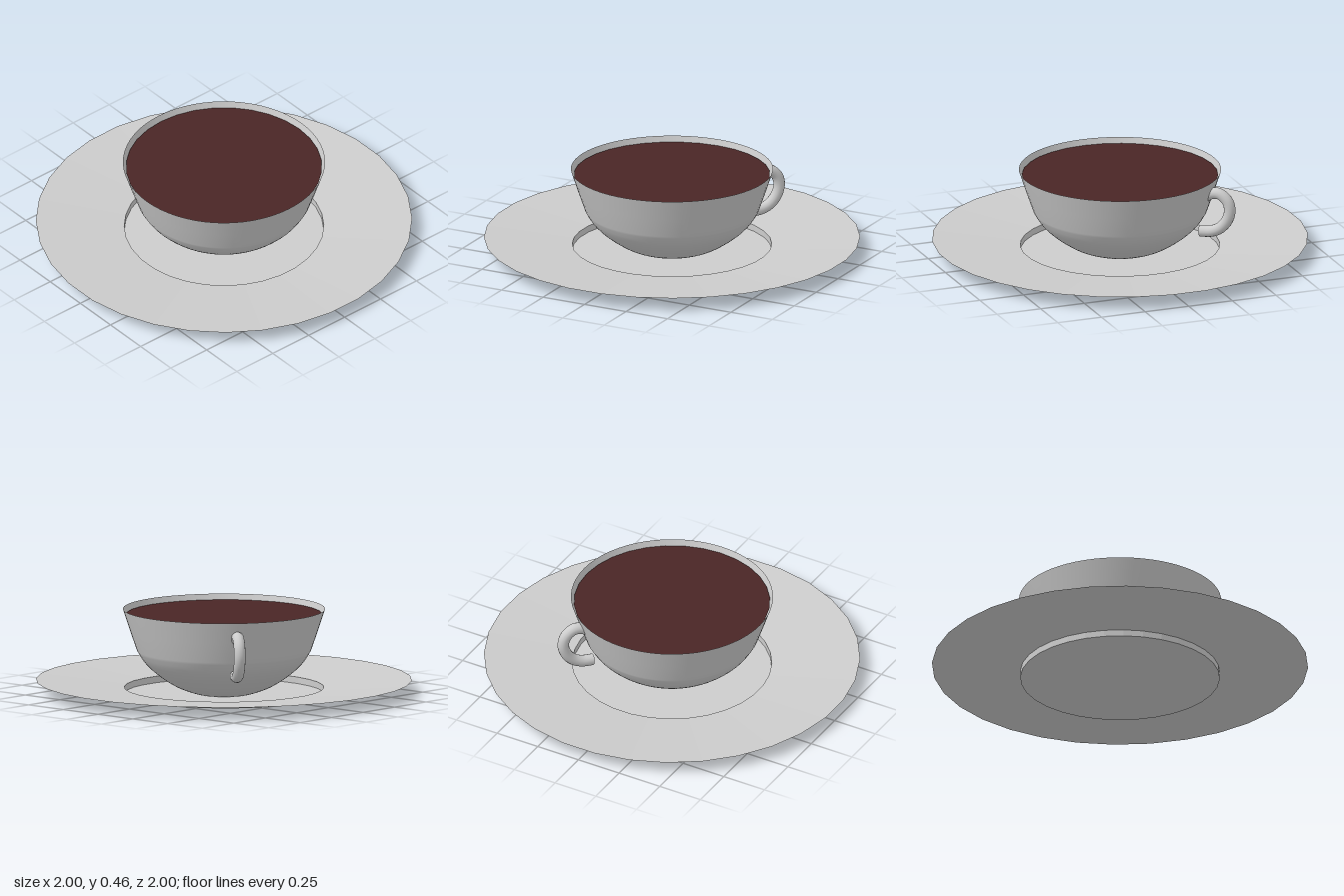
import * as THREE from 'three';

const porcelain = new THREE.MeshStandardMaterial({ color: 0xcccccc, side: THREE.DoubleSide });
porcelain.name = 'porcelain';
const coffee = new THREE.MeshStandardMaterial({ color: 0x4a2626 });
coffee.name = 'coffee';

const toPoints = (pairs) => pairs.map(([x, y]) => new THREE.Vector2(x, y));

export function createModel() {
  const group = new THREE.Group();
  const add = (name, geometry, material) => {
    const mesh = new THREE.Mesh(geometry, material);
    mesh.name = name;
    group.add(mesh);
    return mesh;
  };

  // Saucer: thin faceted sheet with a sunken well and a flared rim
  const saucerProfile = toPoints([[0, 0], [0.532, 0], [0.532, 0.035], [1.003, 0.075]]);
  const saucer = new THREE.LatheGeometry(saucerProfile, 32, Math.PI / 32).toNonIndexed();
  saucer.computeVertexNormals();
  add('saucer', saucer, porcelain);

  // Cup: rounded bowl below, straight flaring wall above
  const bowl = new THREE.SplineCurve(toPoints([
    [0.15, 0.004], [0.2, 0.02], [0.26, 0.045], [0.32, 0.082],
    [0.38, 0.128], [0.43, 0.18], [0.464, 0.235],
  ])).getPoints(18);
  const cupProfile = [new THREE.Vector2(0, 0.004), ...bowl, ...toPoints([[0.502, 0.345], [0.539, 0.458]])];
  add('cup', new THREE.LatheGeometry(cupProfile, 64), porcelain);

  // Drink surface just under the rim
  const drink = add('drink', new THREE.CircleGeometry(0.523, 32), coffee);
  drink.rotation.x = -Math.PI / 2;
  drink.position.y = 0.428;

  // Handle: curved tube in a vertical plane, turned to the back left
  const handlePath = new THREE.CatmullRomCurve3([
    [0.475, 0.355], [0.515, 0.377], [0.56, 0.378], [0.604, 0.342], [0.617, 0.29],
    [0.602, 0.235], [0.565, 0.19], [0.515, 0.166], [0.45, 0.16],
  ].map(([x, y]) => new THREE.Vector3(x, y, 0)));
  const handle = add('handle', new THREE.TubeGeometry(handlePath, 40, 0.031, 14), porcelain);
  handle.rotation.y = THREE.MathUtils.degToRad(50);

  return group;
}
